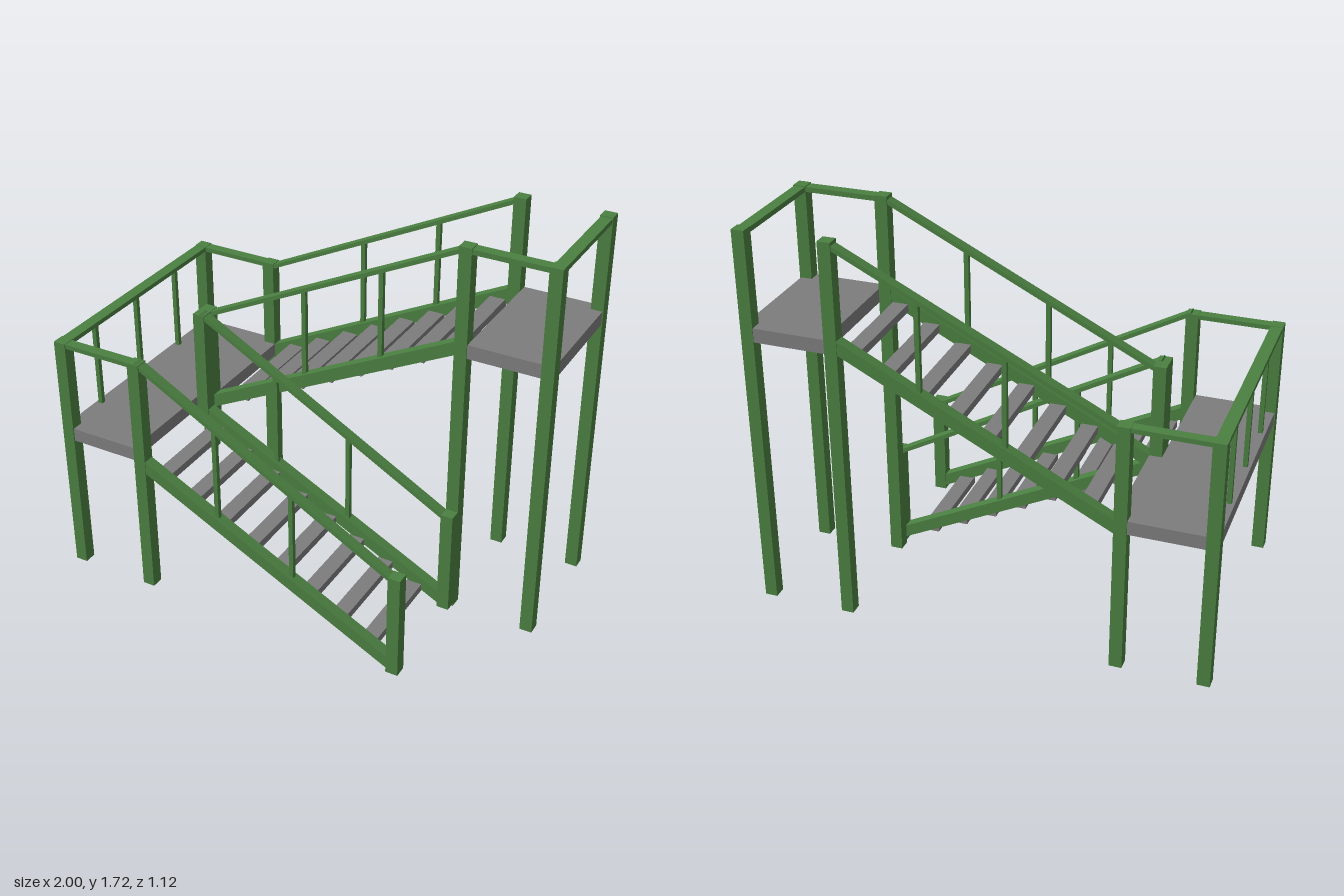
import * as THREE from 'three';

const green = new THREE.MeshStandardMaterial({ color: 0x4b8041 });
green.name = 'green paint';
const grey = new THREE.MeshStandardMaterial({ color: 0x7d7d7d });
grey.name = 'grey deck';

const W = 0.055; // post and beam width
const OUTER = 0.532, LOWER_IN = 0.047, UPPER_IN = -0.005; // frame lines along z

export function createModel() {
  const model = new THREE.Group();
  model.name = 'staircase';

  // Box given by its min and max on each axis
  function box(name, material, [x0, x1], [y0, y1], [z0, z1]) {
    const mesh = new THREE.Mesh(new THREE.BoxGeometry(x1 - x0, y1 - y0, z1 - z0), material);
    mesh.position.set((x0 + x1) / 2, (y0 + y1) / 2, (z0 + z1) / 2);
    mesh.name = name;
    model.add(mesh);
  }
  const span = (c, w) => [c - w / 2, c + w / 2];
  const post = (x, z, y0, y1) => box('post', green, span(x, W), [y0, y1], span(z, W));
  const baluster = (x, z, y0, y1) => box('baluster', green, span(x, 0.02), [y0, y1], span(z, 0.02));

  // Sloping bar between two points in the x-y plane
  function slope(name, x0, y0, x1, y1, z, thick, wide) {
    const mesh = new THREE.Mesh(
      new THREE.BoxGeometry(Math.hypot(x1 - x0, y1 - y0), thick, wide), green);
    mesh.position.set((x0 + x1) / 2, (y0 + y1) / 2, z);
    mesh.rotation.z = Math.atan2(y1 - y0, x1 - x0);
    mesh.name = name;
    model.add(mesh);
  }

  // Posts of the lower landing, with the hanging newel between the flights
  for (const z of [-OUTER, OUTER])
    for (const x of [-0.972, -0.603]) post(x, z, 0.018, 1.14);
  box('newel', green, [-0.63, -0.575], [0.59, 1.14], [-0.033, 0.074]);

  // Short posts at the foot of the lower flight
  for (const z of [LOWER_IN, OUTER]) post(0.603, z, 0.015, 0.5);

  // Tall posts of the upper landing
  for (const z of [-OUTER, UPPER_IN])
    for (const x of [0.603, 0.972]) post(x, z, 0, 1.72);

  // Landings
  box('lowerLanding', grey, [-0.995, -0.63], [0.665, 0.725], [-0.555, 0.555]);
  box('lowerLandingEdge', grey, [-0.63, -0.575], [0.665, 0.725], [-0.555, -0.03]);
  box('upperLanding', grey, [0.63, 0.995], [1.24, 1.302], [-0.557, 0.018]);

  // Treads of both flights
  for (let i = 0; i < 8; i++) {
    const xl = -0.56 + i * 0.1412, yl = 0.568 - i * 0.0714;
    box('lowerTread', grey, [xl, xl + 0.07], [yl, yl + 0.034], [0.06, 0.52]);
    const xu = -0.49 + i * 0.1412, yu = 0.714 + i * 0.0716;
    box('upperTread', grey, [xu, xu + 0.07], [yu, yu + 0.034], [-0.52, -0.02]);
  }

  // Lower flight sides: stringer, handrail and balusters
  for (const z of [LOWER_IN, OUTER]) {
    slope('lowerStringer', -0.6, 0.655, 0.605, 0.049, z, 0.053, 0.05);
    slope('lowerHandrail', -0.6, 1.139, 0.6, 0.477, z, 0.018, 0.046);
    baluster(-0.235, z, 0.47, 0.935);
    baluster(0.122, z, 0.29, 0.74);
  }

  // Upper flight sides
  for (const z of [-OUTER, UPPER_IN]) {
    slope('upperStringer', -0.6, 0.679, 0.6, 1.285, z, 0.055, 0.05);
    slope('upperHandrail', -0.6, 1.115, 0.6, 1.707, z, 0.018, 0.046);
    baluster(-0.12, z, 0.92, 1.35);
    baluster(0.238, z, 1.1, 1.525);
  }

  // Level rails around the lower landing
  for (const z of [-OUTER, OUTER])
    box('landingRail', green, [-0.972, -0.603], [1.118, 1.138], span(z, 0.046));
  box('landingRail', green, [-0.998, -0.946], [1.118, 1.138], [-OUTER, OUTER]);
  for (const z of [-0.285, 0.016, 0.317]) baluster(-0.972, z, 0.72, 1.125);

  // Level rails around the upper landing
  box('upperRail', green, [0.603, 0.972], [1.694, 1.716], span(UPPER_IN, 0.048));
  box('upperRail', green, [0.947, 0.997], [1.694, 1.716], [-OUTER, UPPER_IN]);

  return model;
}
